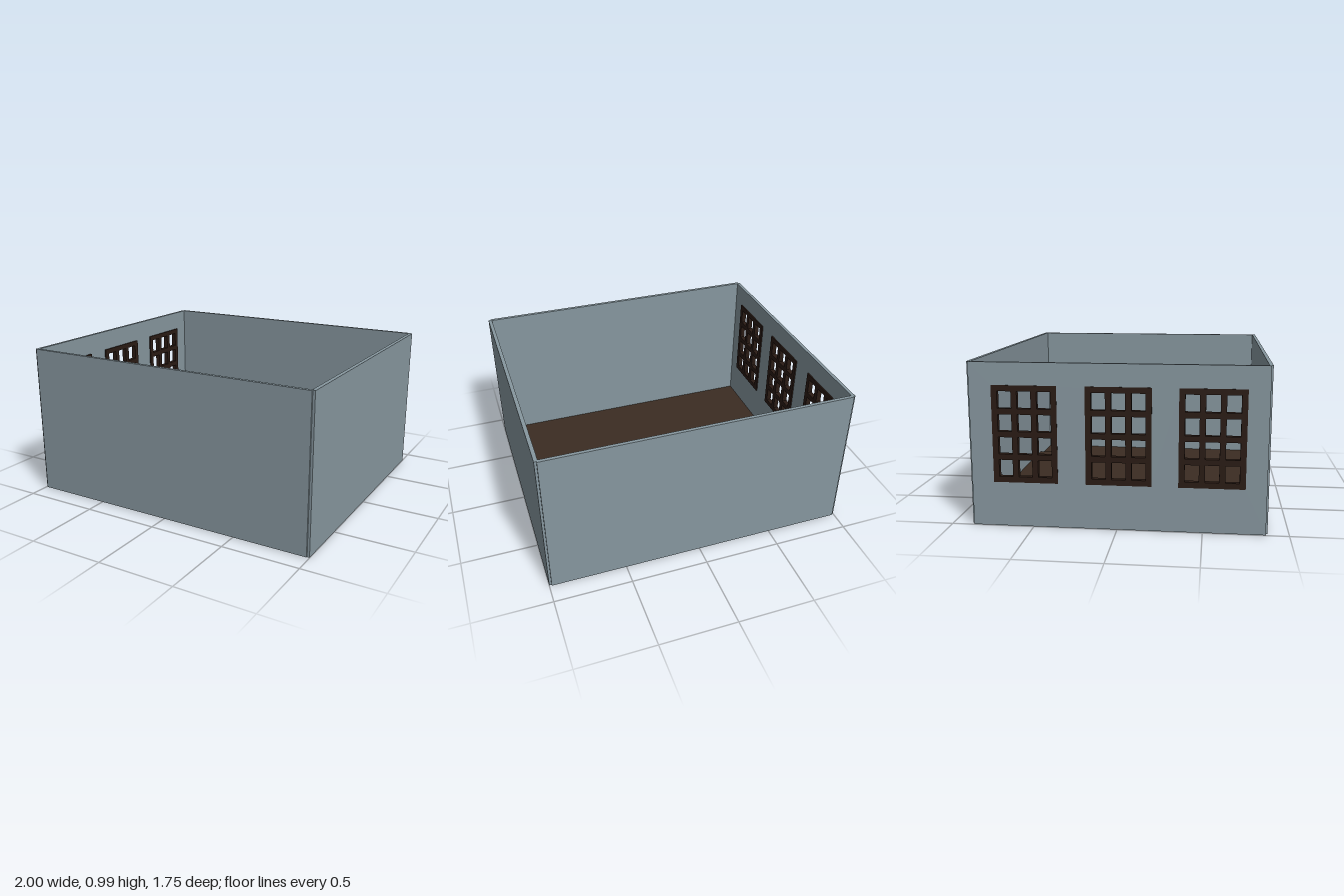
import * as THREE from 'three';

const wallMat = new THREE.MeshStandardMaterial({ color: 0x87979f });
const floorMat = new THREE.MeshStandardMaterial({ color: 0x3b2c22 });
const frameMat = new THREE.MeshStandardMaterial({ color: 0x2a1b14 });

const HEIGHT = 0.985;
const WINDOW = { width: 0.385, bottom: 0.27, top: 0.85, bar: 0.035, columns: 3, rows: 4 };
const WINDOW_Z = [-0.54, 0.01, 0.55];

// Box given by its minimum and maximum corners
function box(name, material, [x0, y0, z0], [x1, y1, z1]) {
  const mesh = new THREE.Mesh(new THREE.BoxGeometry(x1 - x0, y1 - y0, z1 - z0), material);
  mesh.position.set((x0 + x1) / 2, (y0 + y1) / 2, (z0 + z1) / 2);
  mesh.name = name;
  return mesh;
}

// Rectangle as a shape or a hole
function rectangle(path, x0, y0, x1, y1) {
  path.moveTo(x0, y0).lineTo(x1, y0).lineTo(x1, y1).lineTo(x0, y1).closePath();
  return path;
}

// Upright panel in the z-y plane, from x = inner outwards to -x
function sidePanel(name, material, shape, inner, thickness) {
  const geometry = new THREE.ExtrudeGeometry(shape, { depth: thickness, bevelEnabled: false });
  geometry.rotateY(-Math.PI / 2).translate(inner, 0, 0);
  const mesh = new THREE.Mesh(geometry, material);
  mesh.name = name;
  return mesh;
}

// Lattice frame: one panel with a grid of open panes
function windowFrame(z) {
  const { width, bottom, top, bar, columns, rows } = WINDOW;
  const left = z - width / 2;
  const shape = rectangle(new THREE.Shape(), left, bottom, left + width, top);
  const paneW = (width - bar * (columns + 1)) / columns;
  const paneH = (top - bottom - bar * (rows + 1)) / rows;
  for (let c = 0; c < columns; c++) {
    for (let r = 0; r < rows; r++) {
      const x = left + bar + c * (paneW + bar);
      const y = bottom + bar + r * (paneH + bar);
      shape.holes.push(rectangle(new THREE.Path(), x, y, x + paneW, y + paneH));
    }
  }
  return sidePanel('windowFrame', frameMat, shape, -0.967, 0.033);
}

export function createModel() {
  const room = new THREE.Group();
  room.name = 'room';

  // Floor and the low platform against the back wall
  room.add(box('floor', floorMat, [-0.98, 0, -0.86], [0.98, 0.01, 0.86]));
  room.add(box('platform', floorMat, [-0.73, 0.005, -0.86], [0.62, 0.043, -0.5]));

  // Solid walls; the corners are slightly notched
  room.add(box('frontWall', wallMat, [-0.985, 0.004, 0.853], [0.985, HEIGHT, 0.875]));
  room.add(box('backWall', wallMat, [-0.985, 0.004, -0.875], [0.985, HEIGHT, -0.853]));
  room.add(box('leftWall', wallMat, [0.976, 0.001, -0.865], [1, HEIGHT - 0.001, 0.865]));

  // Wall with three window openings
  const wall = rectangle(new THREE.Shape(), -0.865, 0.001, 0.865, HEIGHT - 0.001);
  for (const z of WINDOW_Z) {
    const half = WINDOW.width / 2 - 0.005;
    wall.holes.push(rectangle(new THREE.Path(), z - half, WINDOW.bottom + 0.005, z + half, WINDOW.top - 0.005));
  }
  room.add(sidePanel('windowWall', wallMat, wall, -0.976, 0.022));

  // Window lattices
  for (const z of WINDOW_Z) room.add(windowFrame(z));

  return room;
}
